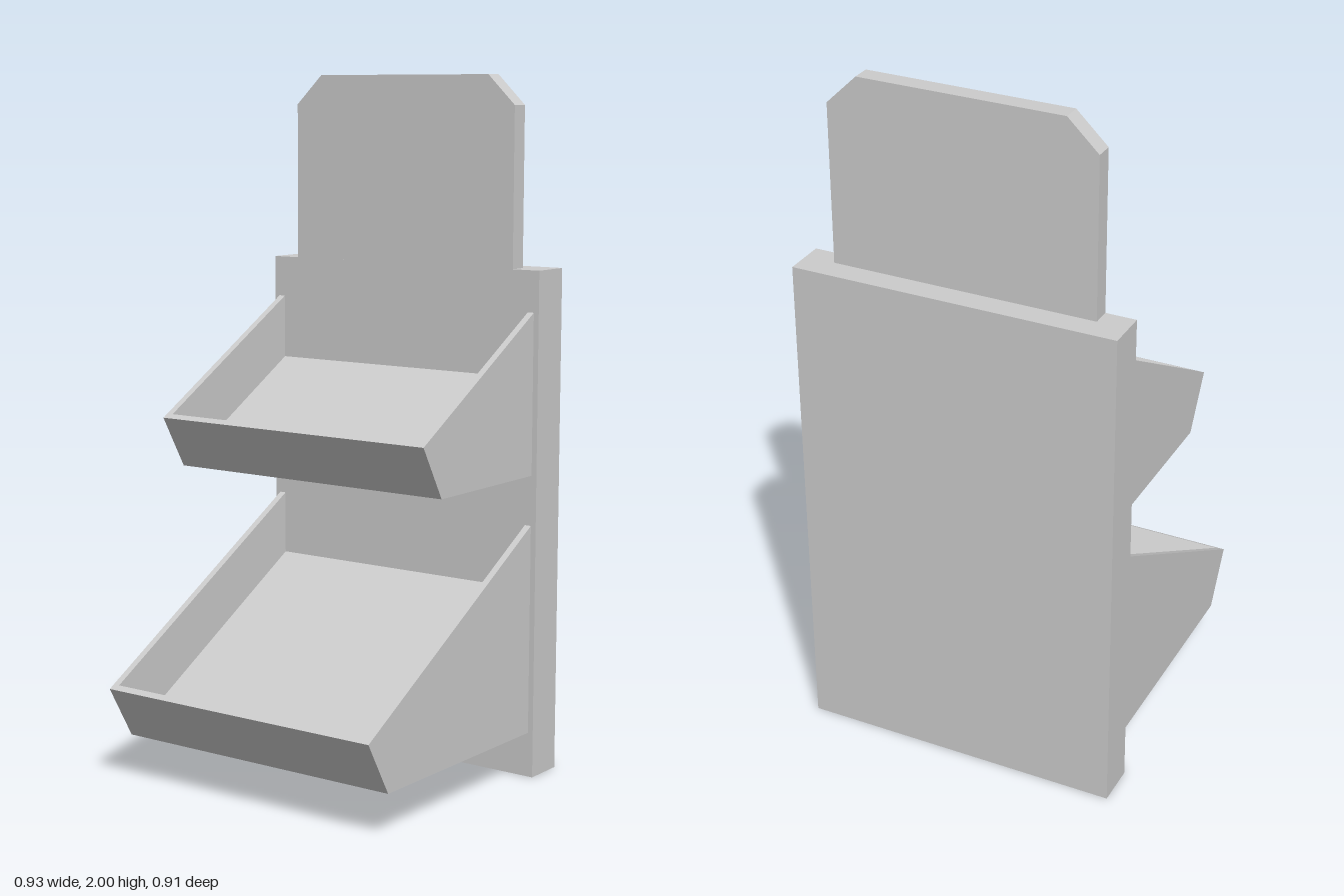
import * as THREE from 'three';

const material = new THREE.MeshStandardMaterial({ color: 0xcccccc, flatShading: true, side: THREE.DoubleSide });

const FACE_Z = -0.33; // front face of the back panel
const BACK_Z = -0.453;
const TRAY_HALF = 0.451;
const WALL = 0.02;
const SLOPE = Math.tan(Math.PI / 6);

function addMesh(parent, name, geometry) {
  const mesh = new THREE.Mesh(geometry, material);
  mesh.name = name;
  parent.add(mesh);
  return mesh;
}

// Extrudes a [z, y] side profile along x, from x0 to x1
function extrudeAlongX(profile, x0, x1) {
  const shape = new THREE.Shape(profile.map(([z, y]) => new THREE.Vector2(-z, y)));
  const geometry = new THREE.ExtrudeGeometry(shape, { depth: x1 - x0, bevelEnabled: false });
  return geometry.rotateY(Math.PI / 2).translate(x0, 0, 0);
}

// Tilted tray: sloping floor with a front lip, between two side walls
function createTray(name, bottomY, lipZ, lipY) {
  const tray = new THREE.Group();
  tray.name = name;
  const toeZ = lipZ - (lipY - bottomY) * SLOPE;
  const rimY = lipY + (lipZ - FACE_Z) * SLOPE;

  const innerZ = lipZ - WALL * Math.cos(Math.PI / 6);
  const innerY = lipY + WALL * 0.5;
  const floorZ = innerZ - 0.08;
  const floorY = innerY - 0.08 / SLOPE;
  const floorBackY = floorY + (floorZ - FACE_Z) * SLOPE;

  const inner = TRAY_HALF - WALL;
  addMesh(tray, 'floorAndLip', extrudeAlongX([
    [FACE_Z, bottomY], [toeZ, bottomY], [lipZ, lipY],
    [innerZ, innerY], [floorZ, floorY], [FACE_Z, floorBackY],
  ], -inner, inner));

  const side = [[FACE_Z, bottomY], [toeZ, bottomY], [lipZ, lipY], [FACE_Z, rimY]];
  addMesh(tray, 'leftWall', extrudeAlongX(side, inner, TRAY_HALF));
  addMesh(tray, 'rightWall', extrudeAlongX(side, -TRAY_HALF, -inner));
  return tray;
}

export function createModel() {
  const stand = new THREE.Group();
  stand.name = 'displayStand';

  // Hollow back panel, open underneath (bottom face dropped)
  const panel = new THREE.BoxGeometry(0.934, 1.46, FACE_Z - BACK_Z);
  const index = Array.from(panel.index.array);
  index.splice(18, 6);
  panel.setIndex(index);
  panel.clearGroups();
  panel.translate(0, 0.73, (FACE_Z + BACK_Z) / 2);
  addMesh(stand, 'backPanel', panel);

  // Header board with clipped top corners
  const header = new THREE.Shape([
    [-0.38, 1.46], [0.38, 1.46], [0.38, 1.915], [0.292, 2], [-0.292, 2], [-0.38, 1.915],
  ].map(([x, y]) => new THREE.Vector2(x, y)));
  const headerGeometry = new THREE.ExtrudeGeometry(header, { depth: 0.053, bevelEnabled: false });
  addMesh(stand, 'headerBoard', headerGeometry.translate(0, 0, FACE_Z - 0.053));

  // Flat sign area on the header
  addMesh(stand, 'signArea', new THREE.PlaneGeometry(0.514, 0.505).translate(0, 1.742, FACE_Z + 0.001));

  stand.add(createTray('upperTray', 0.88, 0.21, 1.03));
  stand.add(createTray('lowerTray', 0.13, 0.453, 0.284));
  return stand;
}
